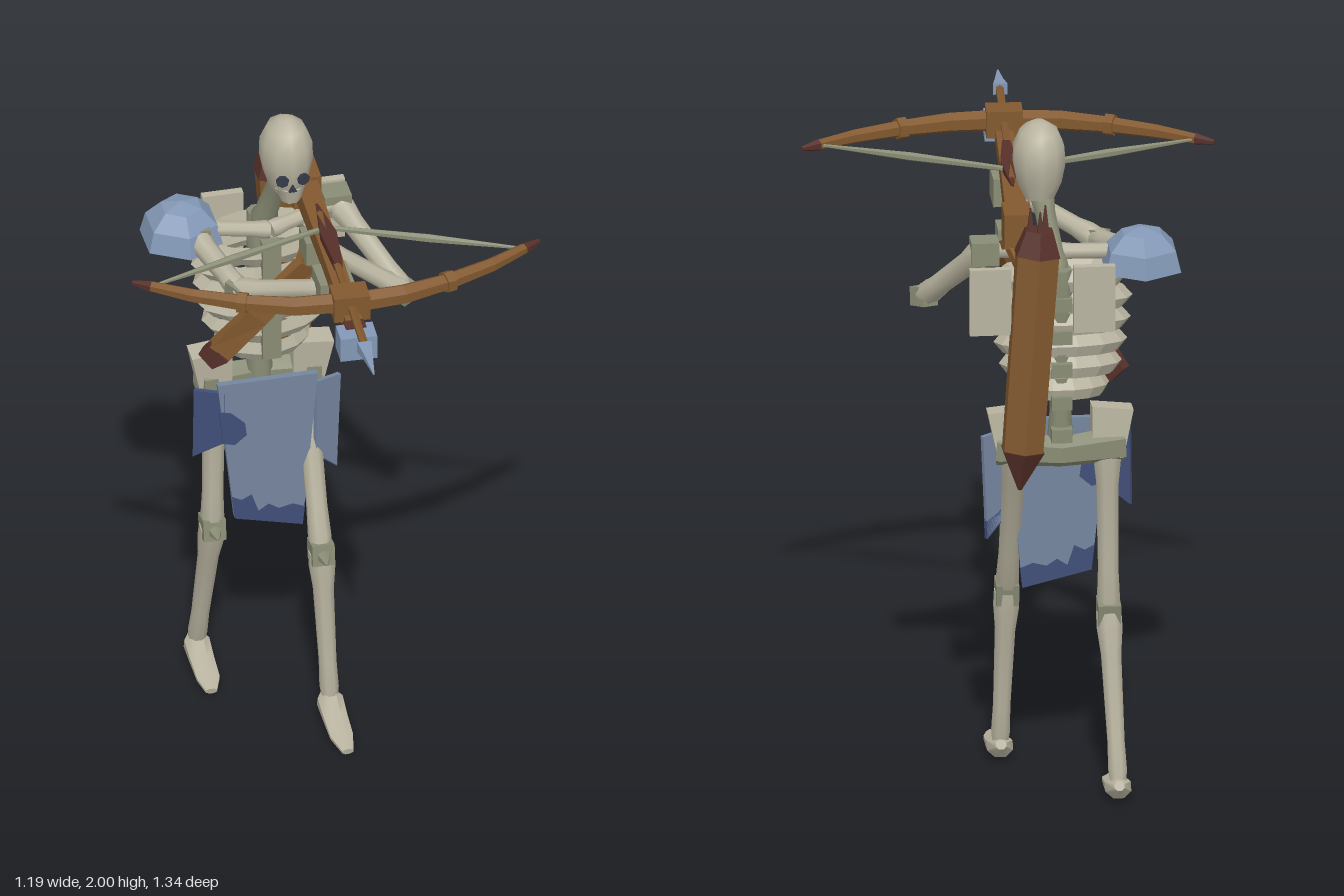
import * as THREE from 'three';
import { toCreasedNormals } from 'three/addons/utils/BufferGeometryUtils.js';

const V = (p) => new THREE.Vector3(p[0], p[1], p[2]);
const paint = (name, color, side = THREE.FrontSide) => {
  const m = new THREE.MeshStandardMaterial({ color, side });
  m.name = name;
  return m;
};

export function createModel() {
  const root = new THREE.Group();
  root.name = 'skeletonCrossbowman';
  const bone = paint('bone', 0xb9b4a0), joint = paint('weatheredBone', 0x898c74);
  const wood = paint('wood', 0x82592f), maroon = paint('darkMaroon', 0x57302a);
  const metal = paint('steel', 0x8398b6, THREE.DoubleSide);
  const cloth = paint('cloth', 0x75859f, THREE.DoubleSide), rag = paint('darkCloth', 0x414f78, THREE.DoubleSide);
  const socket = paint('eyeSocket', 0x343a48);

  const add = (name, geo, mat, parent = root) => {
    const m = new THREE.Mesh(geo, mat);
    m.name = name;
    parent.add(m);
    return m;
  };

  // Loft along rows of [x, y, z, halfWidth, halfHeight]; four sides give a box section
  function beam(name, mat, rows, n = 6, crease = 0) {
    const pts = rows.map(V), last = rows.length - 1;
    const axis = pts[last].clone().sub(pts[0]).normalize();
    const up = Math.abs(axis.y) > 0.8 ? new THREE.Vector3(0, 0, 1) : new THREE.Vector3(0, 1, 0);
    const k = n === 4 ? Math.SQRT2 : 1, off = Math.PI / n;
    const rings = pts.map((p, i) => {
      const d = pts[Math.min(i + 1, last)].clone().sub(pts[Math.max(i - 1, 0)]).normalize();
      const s = up.clone().cross(d).normalize(), u = d.clone().cross(s);
      const w = rows[i][3], h = rows[i][4] ?? w;
      return Array.from({ length: n }, (_, j) => {
        const a = off + (j / n) * Math.PI * 2;
        return p.clone().addScaledVector(s, Math.cos(a) * w * k).addScaledVector(u, Math.sin(a) * h * k);
      });
    });
    const tri = [];
    for (let j = 0; j < n; j++) {
      const q = (j + 1) % n;
      for (let i = 0; i < last; i++) {
        const [a, b] = [rings[i], rings[i + 1]];
        tri.push(a[j], a[q], b[q], a[j], b[q], b[j]);
      }
      tri.push(pts[0], rings[0][q], rings[0][j], pts[last], rings[last][j], rings[last][q]);
    }
    let geo = new THREE.BufferGeometry().setFromPoints(tri);
    geo.computeVertexNormals();
    if (crease) geo = toCreasedNormals(geo, crease);
    return add(name, geo, mat);
  }

  // Long bone with knobbed ends
  function limb(name, a, b, r0, r1, mat = bone) {
    const prof = [[0, 1.1], [0.1, 1.15], [0.25, 0.95], [0.75, 0.95], [0.92, 1.1], [1, 0.95]];
    const rows = prof.map(([t, f]) => {
      const p = V(a).lerp(V(b), t), r = (r0 + (r1 - r0) * t) * f;
      return [p.x, p.y, p.z, r, r];
    });
    return beam(name, mat, rows, 8, 0.9);
  }
  function box(name, mat, x, y, z, w, h, d, rx = 0, ry = 0, rz = 0) {
    const m = add(name, new THREE.BoxGeometry(w, h, d), mat);
    m.position.set(x, y, z);
    m.rotation.set(rx, ry, rz);
    return m;
  }
  // Flat panel cut from an outline in x and y
  function panel(name, mat, outline, z, depth) {
    const s = new THREE.Shape(outline.map(([x, y]) => new THREE.Vector2(x, y)));
    const m = add(name, new THREE.ExtrudeGeometry(s, { depth, bevelEnabled: false }), mat);
    m.position.z = z;
    return m;
  }

  // Skull, jaw and face
  beam('skull', bone, [
    [-0.05, 1.775, -0.365, 0.045, 0.07], [-0.05, 1.82, -0.36, 0.066, 0.085], [-0.05, 1.875, -0.36, 0.077, 0.095],
    [-0.05, 1.93, -0.36, 0.075, 0.093], [-0.05, 1.975, -0.362, 0.055, 0.07], [-0.05, 2, -0.365, 0.02, 0.025],
  ], 10, 0.9);
  beam('jaw', bone, [[-0.045, 1.75, -0.325, 0.03, 0.035], [-0.048, 1.80, -0.325, 0.048, 0.045]], 8, 0.9);
  for (const s of [-1, 1]) {
    const eye = add('eyeSocket', new THREE.CylinderGeometry(0.019, 0.019, 0.008, 7), socket);
    eye.position.set(-0.05 + s * 0.031, 1.845, -0.271);
    eye.rotation.set(Math.PI / 2, 0, -s * 0.25);
  }
  panel('noseHole', socket, [[-0.062, 1.805], [-0.038, 1.805], [-0.05, 1.83]], -0.276, 0.008);

  // Spine, neck and rib cage
  limb('neck', [-0.09, 1.58, -0.48], [-0.055, 1.79, -0.39], 0.035, 0.032, joint);
  limb('spine', [-0.1, 1.02, -0.48], [-0.1, 1.6, -0.5], 0.034, 0.034, joint);
  for (let i = 0; i < 5; i++) box('vertebra', joint, -0.1, 1.1 + i * 0.1, -0.515, 0.06, 0.04, 0.05);
  const ribs = [0.185, 0.2, 0.195, 0.185, 0.17, 0.135];
  ribs.forEach((w, i) => {
    const g = new THREE.TorusGeometry(1, 0.16, 4, 14).toNonIndexed();
    g.computeVertexNormals();
    const rib = add('rib', g, bone);
    rib.position.set(-0.105, 1.555 - i * 0.066, -0.43);
    rib.rotation.x = Math.PI / 2 + 0.12;
    rib.scale.set(w * 0.9, 0.088, 0.2);
  });
  box('sternum', joint, -0.1, 1.4, -0.335, 0.055, 0.4, 0.03);
  limb('collarBone', [-0.3, 1.62, -0.42], [-0.09, 1.61, -0.38], 0.024, 0.024);
  limb('collarBone', [-0.09, 1.61, -0.38], [0.11, 1.64, -0.43], 0.024, 0.024);
  for (const x of [-0.19, 0.11]) box('shoulderBlade', bone, x, 1.53, -0.565, 0.12, 0.2, 0.025);

  // Pelvis
  for (const s of [-1, 1]) {
    beam('hipWing', bone, [[-0.1 + s * 0.135, 1.02, -0.475, 0.045, 0.035],
      [-0.1 + s * 0.15, 1.165, -0.465, 0.06, 0.035]], 4);
  }
  beam('pelvisBar', joint, [[-0.28, 1.05, -0.47, 0.05, 0.055], [-0.1, 1.04, -0.5, 0.04, 0.045],
    [0.08, 1.05, -0.47, 0.05, 0.055]], 6);

  // Legs: hip, knee, ankle, toe
  const legs = [
    ['right', [-0.235, 1.06, -0.475], [-0.24, 0.54, -0.475], [-0.255, 0.06, -0.61], [-0.258, 0.012, -0.41]],
    ['left', [0.03, 1.06, -0.48], [0.035, 0.54, -0.28], [0.05, 0.06, -0.235], [0.053, 0.012, -0.02]],
  ];
  for (const [side, hip, knee, ankle, toe] of legs) {
    limb(side + 'Thigh', hip, knee, 0.037, 0.031);
    limb(side + 'Shin', knee, ankle, 0.035, 0.025);
    box(side + 'Knee', joint, knee[0], knee[1], knee[2], 0.066, 0.065, 0.07, -0.15);
    beam(side + 'Kneecap', joint, [[knee[0], knee[1], knee[2] + 0.025, 0.024], [knee[0], knee[1], knee[2] + 0.075, 0.004]], 6);
    const [x, y, z] = ankle;
    beam(side + 'Foot', bone, [[x, 0.065, z - 0.035, 0.016, 0.015], [x, 0.05, z, 0.04, 0.036],
      [x, 0.034, z + 0.07, 0.038, 0.022], [x, 0.022, z + 0.15, 0.036, 0.013], [...toe, 0.018, 0.01]], 8, 0.7);
  }

  // Arms: shoulder, elbow, wrist
  const arms = [
    ['right', [-0.31, 1.61, -0.4], [-0.235, 1.565, -0.165], [-0.01, 1.655, 0.015]],
    ['left', [0.115, 1.64, -0.44], [0.27, 1.435, -0.24], [0.03, 1.61, -0.265]],
  ];
  for (const [side, shoulder, elbow, wrist] of arms) {
    limb(side + 'UpperArm', shoulder, elbow, 0.037, 0.031);
    limb(side + 'Forearm', elbow, wrist, 0.031, 0.027);
    box(side + 'Elbow', joint, ...elbow, 0.055, 0.055, 0.06, 0.2, 0.6, 0);
    box(side + 'Shoulder', joint, ...shoulder, 0.08, 0.07, 0.075);
  }
  box('rightHand', joint, 0, 1.665, 0.02, 0.1, 0.085, 0.11);
  box('leftHand', joint, 0.02, 1.615, -0.265, 0.085, 0.075, 0.09);

  // Shoulder guard
  const dome = new THREE.SphereGeometry(0.125, 6, 3, 0, Math.PI * 2, 0, Math.PI / 2).toNonIndexed();
  dome.computeVertexNormals();
  const guard = add('shoulderGuard', dome, metal);
  guard.position.set(-0.338, 1.578, -0.447);
  guard.rotation.y = Math.PI / 6;

  // Loincloth with ragged dark hem and hip flaps
  panel('loincloth', cloth, [[-0.25, 1.1], [-0.2, 0.635], [0, 0.585], [0.045, 1.1]], -0.383, 0.02);
  panel('raggedHem', rag, [[-0.208, 0.71], [-0.2, 0.635], [0, 0.585], [0.006, 0.645], [-0.03, 0.66], [-0.07, 0.65],
    [-0.1, 0.67], [-0.13, 0.65], [-0.15, 0.71], [-0.18, 0.695]], -0.386, 0.026);
  panel('clothStain', rag, [[-0.246, 1.01], [-0.235, 0.9], [-0.2, 0.89], [-0.165, 0.92], [-0.17, 0.96], [-0.21, 1.0]], -0.386, 0.026);
  const flap = (name, mat, outline, x, ry) => {
    const m = panel(name, mat, outline, -0.375, 0.014);
    m.position.x = x;
    m.rotation.y = ry;
  };
  flap('rightFlap', rag, [[-0.09, 1.07], [-0.093, 0.84], [0, 0.9], [0, 1.07]], -0.225, -0.45);
  flap('leftFlap', cloth, [[0, 1.07], [0, 0.82], [0.075, 0.75], [0.09, 1.06]], 0.035, 0.45);
  flap('leftFlapHem', rag, [[0, 0.86], [0, 0.815], [0.076, 0.745], [0.079, 0.80], [0.04, 0.82]], 0.035, 0.45);

  // Quiver and chest strap
  const quiver = (t, r) => [-0.03 + 0.06 * t, 1.75 - 0.78 * t, -0.577 - 0.037 * t, r];
  beam('quiverTip', maroon, [quiver(1, 0.006), quiver(0.845, 0.069)], 6);
  beam('quiver', wood, [quiver(0.85, 0.065), quiver(0.09, 0.069)], 6);
  beam('quiverRim', maroon, [quiver(0.095, 0.073), quiver(0.0, 0.045)], 6);
  [[-0.05, -0.555], [-0.005, -0.575], [-0.03, -0.61]].forEach(([x, z]) =>
    beam('spareBolt', maroon, [[x, 1.72, z, 0.012], [x, 1.815, z, 0.002]], 4));
  beam('chestStrap', wood, [[-0.255, 1.25, -0.325, 0.02, 0.036], [-0.15, 1.37, -0.305, 0.016, 0.036],
    [0.0, 1.52, -0.31, 0.016, 0.036], [0.05, 1.63, -0.37, 0.016, 0.036]], 4);
  beam('strapEnd', maroon, [[-0.285, 1.215, -0.345, 0.02, 0.03], [-0.25, 1.255, -0.323, 0.022, 0.038]], 4);
  beam('strapBack', wood, [[0.05, 1.63, -0.38, 0.03, 0.014], [0.03, 1.67, -0.46, 0.03, 0.014], [0, 1.62, -0.56, 0.03, 0.014]], 4);

  // Crossbow stock and fittings
  beam('stock', wood, [[0.02, 1.722, -0.42, 0.032, 0.034], [0.002, 1.732, 0, 0.027, 0.026], [-0.014, 1.733, 0.37, 0.024, 0.024]], 4);
  beam('butt', wood, [[0.023, 1.715, -0.5, 0.04, 0.052], [0.02, 1.715, -0.385, 0.04, 0.052]], 4);
  box('stirrup', metal, -0.018, 1.718, 0.39, 0.107, 0.076, 0.075, 0, -0.04, 0);
  box('stockNose', maroon, -0.016, 1.745, 0.36, 0.06, 0.03, 0.04);
  box('trigger', metal, 0.006, 1.685, -0.14, 0.02, 0.045, 0.025);
  box('bowMount', wood, -0.01, 1.775, 0.27, 0.105, 0.08, 0.08, 0, -0.04, 0);

  // Bow limbs with rings, dark tips and string
  const bows = [
    [[-0.03, 0.268], [-0.17, 0.255], [-0.31, 0.203], [-0.44, 0.135], [-0.545, 0.062], [-0.594, 0.03], [-0.012, -0.115]],
    [[0.02, 0.272], [0.15, 0.266], [0.29, 0.232], [0.43, 0.178], [0.54, 0.118], [0.59, 0.09], [0.03, -0.115]],
  ];
  for (const p of bows) {
    const row = (i, h, t = h) => [p[i][0], 1.775, p[i][1], h, t];
    beam('bowLimb', wood, [row(0, 0.032), row(1, 0.03), row(2, 0.025), row(3, 0.021), row(4, 0.016)], 6);
    beam('bowTip', maroon, [row(4, 0.018), row(5, 0.007)], 6);
    const dir = new THREE.Vector2(p[3][0] - p[1][0], p[3][1] - p[1][1]).normalize().multiplyScalar(0.014);
    beam('bowRing', wood, [[p[2][0] - dir.x, 1.775, p[2][1] - dir.y, 0.033],
      [p[2][0] + dir.x, 1.775, p[2][1] + dir.y, 0.033]], 6);
    const [a, b] = [p[4], p[6]];
    beam('bowString', joint, [[a[0], 1.775, a[1], 0.004], [(a[0] + b[0]) / 2, 1.773, (a[1] + b[1]) / 2, 0.013],
      [b[0], 1.77, b[1], 0.008]], 6);
  }

  // Loaded bolt with fletching and steel head
  beam('boltShaft', wood, [[0.012, 1.768, -0.2, 0.01], [-0.022, 1.782, 0.52, 0.013]], 6);
  beam('fletching', maroon, [[0.015, 1.766, -0.25, 0.003], [0.01, 1.768, -0.08, 0.024, 0.014], [0.002, 1.772, 0.08, 0.012, 0.013]], 4);
  beam('boltHead', metal, [[-0.023, 1.782, 0.51, 0.021, 0.017], [-0.025, 1.783, 0.57, 0.012, 0.01], [-0.03, 1.785, 0.66, 0.002]], 4);

  return root;
}
